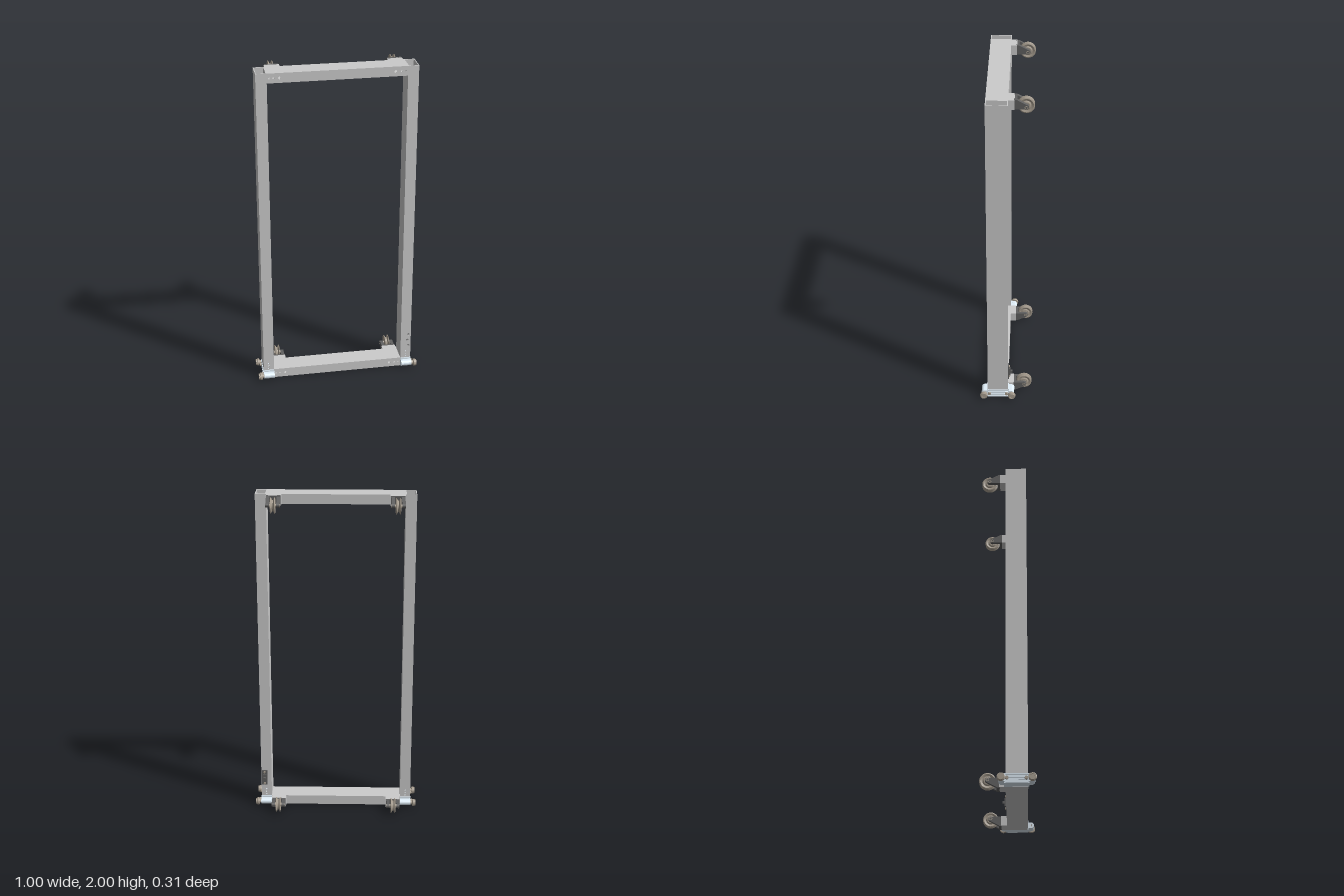
import * as THREE from 'three';

const mat = (color) => new THREE.MeshStandardMaterial({ color });
const grey = mat(0xcccccc), alloy = mat(0xe2f0fa), dark = mat(0x606060), tan = mat(0xa89e90);
grey.side = THREE.DoubleSide;

function add(parent, name, geometry, material, x = 0, y = 0, z = 0) {
  const m = new THREE.Mesh(geometry, material);
  m.name = name;
  m.position.set(x, y, z);
  parent.add(m);
  return m;
}

// Box given by its minimum and maximum corners
function span(parent, name, material, [x0, y0, z0], [x1, y1, z1]) {
  return add(parent, name, new THREE.BoxGeometry(x1 - x0, y1 - y0, z1 - z0), material,
    (x0 + x1) / 2, (y0 + y1) / 2, (z0 + z1) / 2);
}

// Upright plate with round holes [x, y, radius], its back face at z
function plate(parent, name, x0, x1, y0, y1, z, holes) {
  const s = new THREE.Shape([[x0, y0], [x1, y0], [x1, y1], [x0, y1]].map((p) => new THREE.Vector2(...p)));
  for (const [x, y, r] of holes) s.holes.push(new THREE.Path().absarc(x, y, r, 0, Math.PI * 2, true));
  return add(parent, name, new THREE.ExtrudeGeometry(s, { depth: WALL, bevelEnabled: false, curveSegments: 8 }), grey, 0, 0, z);
}

// Solid of revolution about the x axis; profile points are [radius, x]
function turned(parent, name, profile, material, x, y, z) {
  const pts = profile.map((p) => new THREE.Vector2(...p));
  const g = new THREE.LatheGeometry(pts, 32).toNonIndexed();
  g.computeVertexNormals();
  g.rotateZ(-Math.PI / 2);
  const m = add(parent, name, g, material, x, y, z);
  m.material = material.clone();
  m.material.side = THREE.DoubleSide;
  return m;
}

const WALL = 0.005, BACK = -0.015, FRONT = 0.108;
const POST_IN = 0.404, POST_OUT = 0.468, LOW = 0.005, BAR = 0.058;

// Hollow post, open at both ends
function post(side) {
  const g = new THREE.Group();
  g.name = side > 0 ? 'leftPost' : 'rightPost';
  const y0 = 0.062, y1 = 2;
  const a = side > 0 ? POST_IN : -POST_OUT, b = side > 0 ? POST_OUT : -POST_IN;
  const holes = [0.073, 0.09, 0.107].map((y) => [side * 0.437, y, 0.004]);
  if (side > 0) holes.push([0.453, 0.15, 0.008], [0.445, 0.19, 0.008], [0.453, 0.23, 0.008]);
  plate(g, 'postFrontWall', a, b, y0, y1, FRONT - WALL, holes);
  plate(g, 'postBackWall', a, b, y0, y1, BACK, holes);
  for (const x of [a, b - WALL])
    span(g, 'postSideWall', grey, [x, y0, BACK + WALL], [x + WALL, y1, FRONT - WALL]);
  return g;
}

// Hollow cross bar with bolt holes in the front and blocks behind its ends
function crossBar(name, y0) {
  const g = new THREE.Group();
  g.name = name;
  const y1 = y0 + BAR, holes = [];
  for (const s of [-1, 1])
    for (const [x, r] of [[0.39, 0.005], [0.366, 0.005], [0.332, 0.008]]) holes.push([s * x, (y0 + y1) / 2, r]);
  plate(g, 'barFrontWall', -POST_IN, POST_IN, y0, y1, FRONT - WALL, holes);
  plate(g, 'barBackWall', -POST_IN, POST_IN, y0, y1, BACK, []);
  for (const y of [y0, y1 - WALL])
    span(g, 'barFlatWall', grey, [-POST_IN, y, BACK + WALL], [POST_IN, y + WALL, FRONT - WALL]);
  for (const s of [-1, 1])
    span(g, 'barEndBlock', grey, [s * 0.358 - 0.044, y0, -0.05], [s * 0.358 + 0.044, y1, BACK]);
  return g;
}

// Forked bracket and grooved wheel; origin at the low front of the fork
function wheelUnit() {
  const g = new THREE.Group();
  g.name = 'wheelUnit';
  const cheek = new THREE.Shape();
  cheek.moveTo(0.045, 0).lineTo(0.06, 0).lineTo(0.118, 0.03);
  cheek.absarc(0.113, 0.043, 0.014, -1.2, 1.9, false);
  cheek.lineTo(0.062, 0.056).lineTo(0.045, 0.056);
  for (const s of [-1, 1]) {
    const geo = new THREE.ExtrudeGeometry(cheek, { depth: 0.02, bevelEnabled: false, curveSegments: 8 });
    geo.rotateY(Math.PI / 2);
    add(g, 'forkCheek', geo, dark, s * 0.031 - 0.01, 0, 0);
  }
  // Shape x runs to -z after the turn
  span(g, 'forkBridge', dark, [-0.041, 0, -0.064], [0.041, 0.056, -0.048]);
  turned(g, 'grooveWheel', [[0.007, -0.015], [0.02, -0.015], [0.028, -0.011], [0.04, -0.015], [0.046, -0.013], [0.046, -0.01],
    [0.032, -0.003], [0.032, 0.003], [0.046, 0.01], [0.046, 0.013], [0.04, 0.015], [0.028, 0.011],
    [0.02, 0.015], [0.007, 0.015], [0.007, -0.015]], tan, 0, 0.045, -0.113);
  turned(g, 'wheelAxle', [[0.006, -0.042], [0.01, -0.042], [0.01, 0.042], [0.006, 0.042], [0.006, -0.042]], tan, 0, 0.045, -0.113);
  return g;
}

// Corner casting under a post with its end rollers, built for the +x side
function cornerFitting() {
  const g = new THREE.Group();
  g.name = 'cornerFitting';
  const x0 = 0.404, x1 = 0.47, y = 0.034;
  // Ribbed block with a raised rim inside the post
  span(g, 'fittingBody', alloy, [x0, 0.006, -0.022], [0.464, 0.062, 0.114]);
  span(g, 'fittingPlug', alloy, [0.412, 0.06, -0.007], [0.46, 0.068, 0.1]);
  for (const h of [0.01, 0.026, 0.042, 0.055])
    span(g, 'fittingRib', alloy, [0.46, h - 0.003, -0.015], [x1, h + 0.004, 0.108]);
  for (const [z, out] of [[-0.036, -1], [0.128, 1]]) {
    // Rounded barrel tied to the body, with axle and roller
    turned(g, 'fittingBarrel', [[0.007, x0], [0.018, x0], [0.018, x1], [0.007, x1], [0.007, x0]], alloy, 0, y, z);
    span(g, 'barrelWeb', alloy, [x0, y - 0.018, Math.min(z, z - out * 0.018)], [x1, y + 0.018, Math.max(z, z - out * 0.018)]);
    turned(g, 'rollerAxle', [[0, x0 + 0.01], [0.013, x0 + 0.01], [0.013, 0.484], [0, 0.484]], tan, 0, y, z + out * 0.001);
    turned(g, 'endRoller', [[0, 0.481], [0.021, 0.481], [0.023, 0.484], [0.023, 0.494], [0.019, 0.496],
      [0.019, 0.502], [0.012, 0.502], [0.012, 0.498], [0, 0.498]], tan, 0, y, z + out * 0.003);
  }
  for (const z of [-0.007, 0.098])
    turned(g, 'sideStud', [[0, 0.462], [0.009, 0.462], [0.009, 0.48], [0, 0.48]], tan, 0, y, z);
  return g;
}

// Latch plate with a knob on the back of one post
function latch() {
  const g = new THREE.Group();
  g.name = 'latch';
  span(g, 'latchPlate', dark, [0.43, 0.142, -0.022], [0.464, 0.238, BACK]);
  span(g, 'latchBlock', dark, [0.436, 0.165, -0.031], [0.458, 0.215, -0.02]);
  span(g, 'latchKnob', dark, [0.439, 0.182, -0.043], [0.453, 0.198, -0.03]);
  for (const y of [0.152, 0.228])
    add(g, 'latchScrew', new THREE.CylinderGeometry(0.007, 0.007, 0.008, 16).rotateX(Math.PI / 2), tan, 0.447, y, -0.024);
  return g;
}

export function createModel() {
  const model = new THREE.Group();
  model.name = 'rollingFrame';
  model.add(crossBar('bottomBar', LOW), crossBar('topBar', 2 - BAR), latch());
  for (const s of [-1, 1]) {
    model.add(post(s));
    const fitting = cornerFitting();
    fitting.scale.x = s;
    model.add(fitting);
    // Lower wheels stand above the bar, upper ones are turned over
    const low = wheelUnit(), high = wheelUnit();
    low.position.set(s * 0.358, LOW, 0);
    high.position.set(s * 0.358, 2, 0);
    high.scale.y = -1;
    model.add(low, high);
  }
  return model;
}
